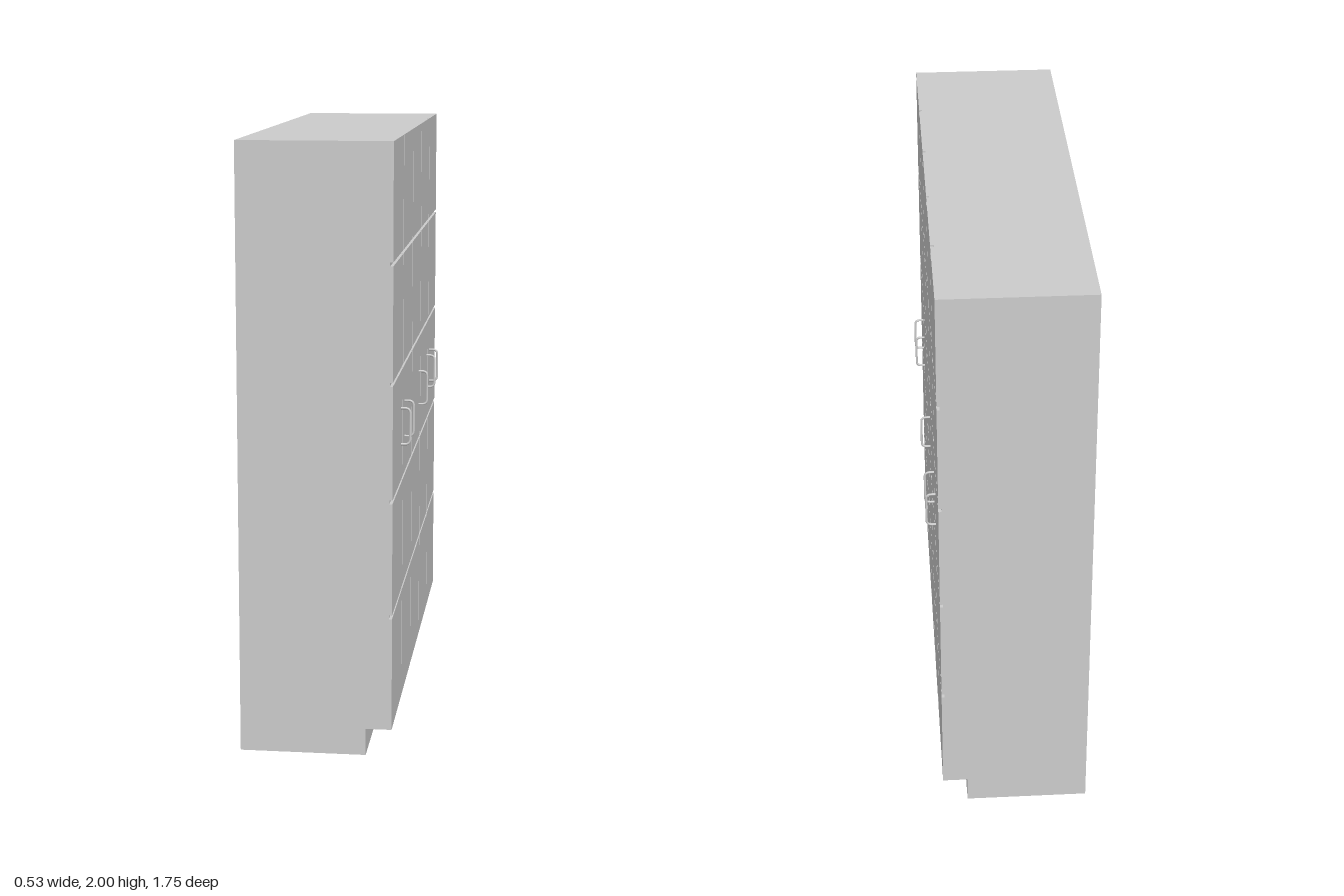
import * as THREE from 'three';

const BACK = -0.27, FACE = 0.23, GROOVE_X = 0.22, PLINTH_X = 0.145;
const HALF_W = 0.875, HEIGHT = 2, PLINTH_H = 0.09;
const COLS = 5, ROWS = 5, GAP = 0.012;

export function createModel() {
  const model = new THREE.Group();
  model.name = 'wardrobe';
  const material = new THREE.MeshStandardMaterial({ color: 0xcccccc });

  const add = (name, geometry, x, y, z, parent = model) => {
    const mesh = new THREE.Mesh(geometry, material);
    mesh.name = name;
    mesh.position.set(x, y, z);
    parent.add(mesh);
    return mesh;
  };

  // Carcass: side profile with a recessed plinth, extruded across the width
  const profile = new THREE.Shape([
    [BACK, 0], [PLINTH_X, 0], [PLINTH_X, PLINTH_H],
    [GROOVE_X, PLINTH_H], [GROOVE_X, HEIGHT], [BACK, HEIGHT],
  ].map(([x, y]) => new THREE.Vector2(x, y)));
  add('carcass', new THREE.ExtrudeGeometry(profile, { depth: HALF_W * 2, bevelEnabled: false }), 0, 0, -HALF_W);

  // Door panels: a grid separated by narrow grooves, flush at the outer edges
  const panels = new THREE.Group();
  panels.name = 'doorPanels';
  model.add(panels);
  const span = (start, size, i, count) => {
    const a = start + i * size + (i > 0 ? GAP / 2 : 0);
    const b = start + (i + 1) * size - (i < count - 1 ? GAP / 2 : 0);
    return [(a + b) / 2, b - a];
  };
  for (let c = 0; c < COLS; c++) {
    const [z, w] = span(-HALF_W, HALF_W * 2 / COLS, c, COLS);
    for (let r = 0; r < ROWS; r++) {
      const [y, h] = span(PLINTH_H, (HEIGHT - PLINTH_H) / ROWS, r, ROWS);
      add('doorPanel', new THREE.BoxGeometry(FACE - GROOVE_X, h, w), (FACE + GROOVE_X) / 2, y, z, panels);
    }
  }

  // Handles: thin bars bent back into the doors with rounded corners
  const V = (x, y) => new THREE.Vector3(x, y, 0);
  const reach = 0.031, half = 0.061, bend = 0.018;
  const path = new THREE.CurvePath();
  path.add(new THREE.LineCurve3(V(-0.004, -half), V(reach - bend, -half)));
  path.add(new THREE.QuadraticBezierCurve3(V(reach - bend, -half), V(reach, -half), V(reach, -half + bend)));
  path.add(new THREE.LineCurve3(V(reach, -half + bend), V(reach, half - bend)));
  path.add(new THREE.QuadraticBezierCurve3(V(reach, half - bend), V(reach, half), V(reach - bend, half)));
  path.add(new THREE.LineCurve3(V(reach - bend, half), V(-0.004, half)));
  const handleGeometry = new THREE.TubeGeometry(path, 48, 0.004, 10, false);
  for (const z of [0.592, 0.459, -0.109, -0.459, -0.592]) {
    add('handle', handleGeometry, FACE, 1.045, z);
  }

  return model;
}
